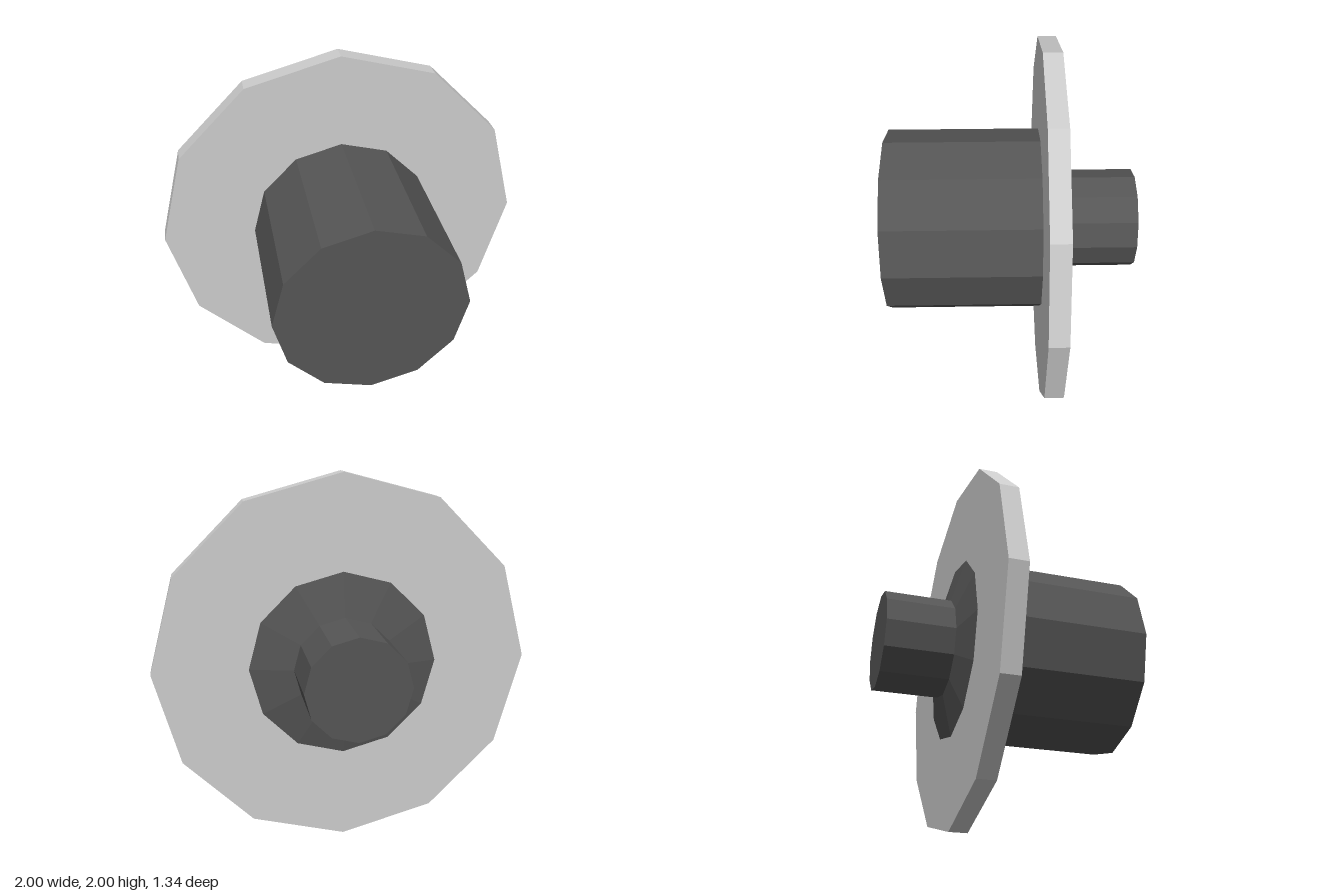
import * as THREE from 'three';

const SIDES = 12;

export function createModel() {
  const group = new THREE.Group();
  group.name = 'flangedSpindle';

  const grey = new THREE.MeshStandardMaterial({ color: 0xcccccc, flatShading: true });
  const dark = new THREE.MeshStandardMaterial({ color: 0x555555, flatShading: true });

  // A twelve-sided section along z, from its front end to its back end
  function section(name, material, zFront, zBack, rFront, rBack = rFront) {
    const geometry = new THREE.CylinderGeometry(rFront, rBack, zFront - zBack, SIDES);
    geometry.rotateX(Math.PI / 2);
    const mesh = new THREE.Mesh(geometry, material);
    mesh.name = name;
    mesh.position.set(0, 1, (zFront + zBack) / 2);
    group.add(mesh);
  }

  // Wide barrel at the front, seated in the flange
  section('barrel', dark, 0.67, -0.2, 0.5);
  // Broad thin disc
  section('flange', grey, -0.155, -0.255, 1);
  // Shallow taper behind the disc
  section('collar', dark, -0.255, -0.305, 0.5, 0.27);
  // Narrow shaft at the back, seated in the collar
  section('shaft', dark, -0.28, -0.67, 0.27);

  return group;
}
